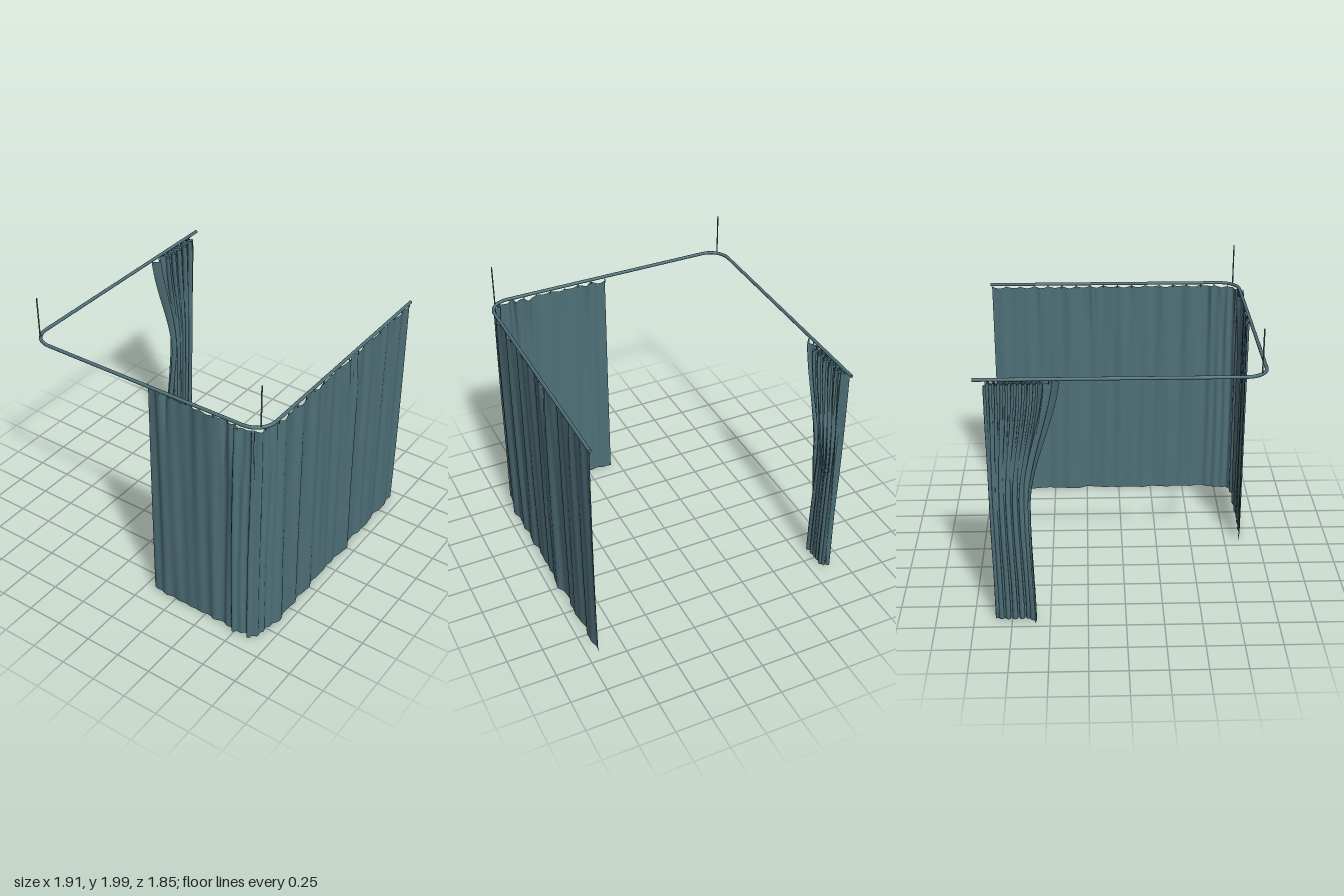
import * as THREE from 'three';

const fabric = new THREE.MeshStandardMaterial({ color: 0x4f7179, side: THREE.DoubleSide });
fabric.name = 'blue grey';

const RAIL_Y = 1.703, BACK = -0.94, FRONT = 0.875, LEFT = 0.925, RIGHT = -0.86, BEND = 0.14;

function addMesh(parent, name, geometry) {
  const mesh = new THREE.Mesh(geometry, fabric);
  mesh.name = name;
  parent.add(mesh);
  return mesh;
}

// Smooth grid surface; point(u, v) returns [x, y, z], v runs upwards
function sheet(nu, nv, point) {
  const pos = [], index = [];
  for (let j = 0; j <= nv; j++) {
    for (let i = 0; i <= nu; i++) pos.push(...point(i / nu, j / nv));
  }
  for (let j = 0; j < nv; j++) {
    for (let i = 0; i < nu; i++) {
      const a = j * (nu + 1) + i, b = a + 1, c = a + nu + 1, d = c + 1;
      index.push(a, b, d, a, d, c);
    }
  }
  const g = new THREE.BufferGeometry();
  g.setAttribute('position', new THREE.Float32BufferAttribute(pos, 3));
  g.setIndex(index);
  g.computeVertexNormals();
  return g;
}

// U-shaped rail with two rounded front corners
function railGeometry() {
  const v = (x, z) => new THREE.Vector3(x, RAIL_Y, z);
  const pts = [v(RIGHT, BACK)];
  for (let i = 0; i <= 10; i++) {
    const a = Math.PI - (i / 10) * Math.PI / 2;
    pts.push(v(RIGHT + BEND + BEND * Math.cos(a), FRONT - BEND + BEND * Math.sin(a)));
  }
  for (let i = 0; i <= 10; i++) {
    const a = Math.PI / 2 - (i / 10) * Math.PI / 2;
    pts.push(v(LEFT - BEND + BEND * Math.cos(a), FRONT - BEND + BEND * Math.sin(a)));
  }
  pts.push(v(LEFT, BACK));
  const path = new THREE.CurvePath();
  for (let i = 1; i < pts.length; i++) path.add(new THREE.LineCurve3(pts[i - 1], pts[i]));
  return new THREE.TubeGeometry(path, 240, 0.0115, 10, false);
}

// Plan of the drawn curtain: along the front, round the corner, down the left side
const drawnPlan = new THREE.CatmullRomCurve3([
  [0.065, 0.848], [0.12, 0.852], [0.17, 0.877], [0.28, 0.867], [0.45, 0.872], [0.58, 0.878],
  [0.64, 0.855], [0.69, 0.882], [0.75, 0.902], [0.81, 0.872], [0.87, 0.882], [0.895, 0.82],
  [0.912, 0.76], [0.938, 0.66], [0.925, 0.56], [0.938, 0.45], [0.922, 0.35], [0.932, 0.25],
  [0.922, 0.05], [0.93, -0.1], [0.94, -0.19], [0.918, -0.34], [0.926, -0.5], [0.923, -0.7], [0.924, -0.93],
].map(([x, z]) => new THREE.Vector3(x, 0, z)), false, 'centripetal');

// Pinched tucks under the heading: [position along the curtain, length, depth]
const tucks = [
  [0.055, 0.35, 0.02], [0.22, 0.5, 0.025], [0.25, 0.42, 0.03], [0.285, 0.55, 0.025],
  [0.32, 0.4, 0.03], [0.36, 0.4, 0.02], [0.39, 0.5, 0.018], [0.71, 0.3, 0.015],
  [0.725, 0.42, 0.018], [0.74, 0.25, 0.012], [0.87, 0.32, 0.01],
];

function drawnCurtainGeometry() {
  const NU = 280, TOP = 1.686;
  const cols = Array.from({ length: NU + 1 }, (_, i) => ({
    p: drawnPlan.getPointAt(i / NU), t: drawnPlan.getTangentAt(i / NU),
  }));
  return sheet(NU, 36, (u, v) => {
    const { p, t } = cols[Math.round(u * NU)];
    const y = 0.012 + v * (TOP - 0.012 - 0.012 * Math.abs(Math.sin(u * Math.PI * 26)));
    // Long soft folds, busier near the corner
    const corner = Math.exp(-(((u - 0.31) / 0.07) ** 2));
    let d = 0.004 * Math.sin(u * 95 + 0.6 * Math.sin(v * 4)) + 0.003 * Math.sin(u * 171 + v * 2.2);
    d += corner * 0.011 * Math.sin(u * 270 + 0.5 * Math.sin(v * 5));
    for (const [at, length, depth] of tucks) {
      const k = Math.max(0, 1 - (TOP - y) / length);
      d -= depth * k * Math.exp(-(((u - at) / (0.002 + 0.005 * k)) ** 2));
    }
    // Slight flare near the hem
    d += 0.006 * (1 - v) ** 3 * Math.sin(u * 60 + 1);
    return [p.x - t.z * d, y, p.z + t.x * d];
  });
}

// Bunched curtain: tight zigzag folds, waisted in the middle, with a loose leading edge
const mix = THREE.MathUtils.lerp;
function profile(stops, y) {
  for (let i = 1; i < stops.length; i++) {
    const [y0, a] = stops[i - 1], [y1, b] = stops[i];
    if (y <= y1) return mix(a, b, THREE.MathUtils.smoothstep(y, y0, y1));
  }
  return stops[stops.length - 1][1];
}
const leadingZ = [[0, -0.6], [0.85, -0.63], [1.69, -0.5]];
const trailingZ = [[0, -0.85], [0.85, -0.86], [1.69, -0.87]];
const centreX = [[0, -0.872], [0.8, -0.868], [1.69, -0.852]];
const halfDepth = [[0, 0.042], [0.8, 0.038], [1.69, 0.046]];

function bunchedCurtainGeometry() {
  const FOLDS = 11;
  return sheet(FOLDS * 16, 28, (u, v) => {
    const y = 0.008 + v * (1.678 - 0.012 * Math.abs(Math.sin(u * 34)));
    const phase = u * FOLDS * Math.PI * 2;
    const size = 0.75 + 0.25 * Math.sin(u * 37 + 1 + v * 1.5);
    let x = profile(centreX, y) + profile(halfDepth, y) * size * Math.sin(phase + 0.4 * Math.sin(v * 5));
    let z = mix(profile(leadingZ, y), profile(trailingZ, y), u) + 0.014 * Math.sin(phase * 2 + v * 2);
    // Leading edge reaches forward at the top and kicks outward at the hem
    const edge = Math.max(0, 1 - u / 0.1);
    z += edge * 0.08 * v ** 3;
    x -= edge * 0.09 * Math.max(0, 1 - y / 0.85);
    return [x, y, z];
  });
}

export function createModel() {
  const model = new THREE.Group();
  model.name = 'curtainOnRail';

  addMesh(model, 'rail', railGeometry());
  for (const [x, z] of [[RIGHT, BACK], [LEFT, BACK]]) {
    const cap = addMesh(model, 'railEndCap', new THREE.CylinderGeometry(0.0118, 0.0118, 0.008, 10));
    cap.rotation.x = Math.PI / 2;
    cap.position.set(x, RAIL_Y, z + 0.003);
  }

  // Ceiling hangers at the two bends
  for (const x of [-0.82, 0.887]) {
    const hanger = addMesh(model, 'ceilingHanger', new THREE.CylinderGeometry(0.0045, 0.0045, 0.3, 8));
    hanger.position.set(x, 1.85, 0.836);
  }

  addMesh(model, 'drawnCurtain', drawnCurtainGeometry());
  addMesh(model, 'bunchedCurtain', bunchedCurtainGeometry());

  // Small gliders joining the curtains to the rail
  const glider = new THREE.CylinderGeometry(0.003, 0.003, 0.03, 6);
  for (let i = 0; i <= 26; i++) {
    const p = drawnPlan.getPointAt(i / 26);
    addMesh(model, 'glider', glider).position.set(p.x, 1.685, p.z);
  }
  for (let i = 0; i < 8; i++) {
    addMesh(model, 'glider', glider).position.set(RIGHT, 1.685, -0.86 + i * 0.055);
  }
  return model;
}
